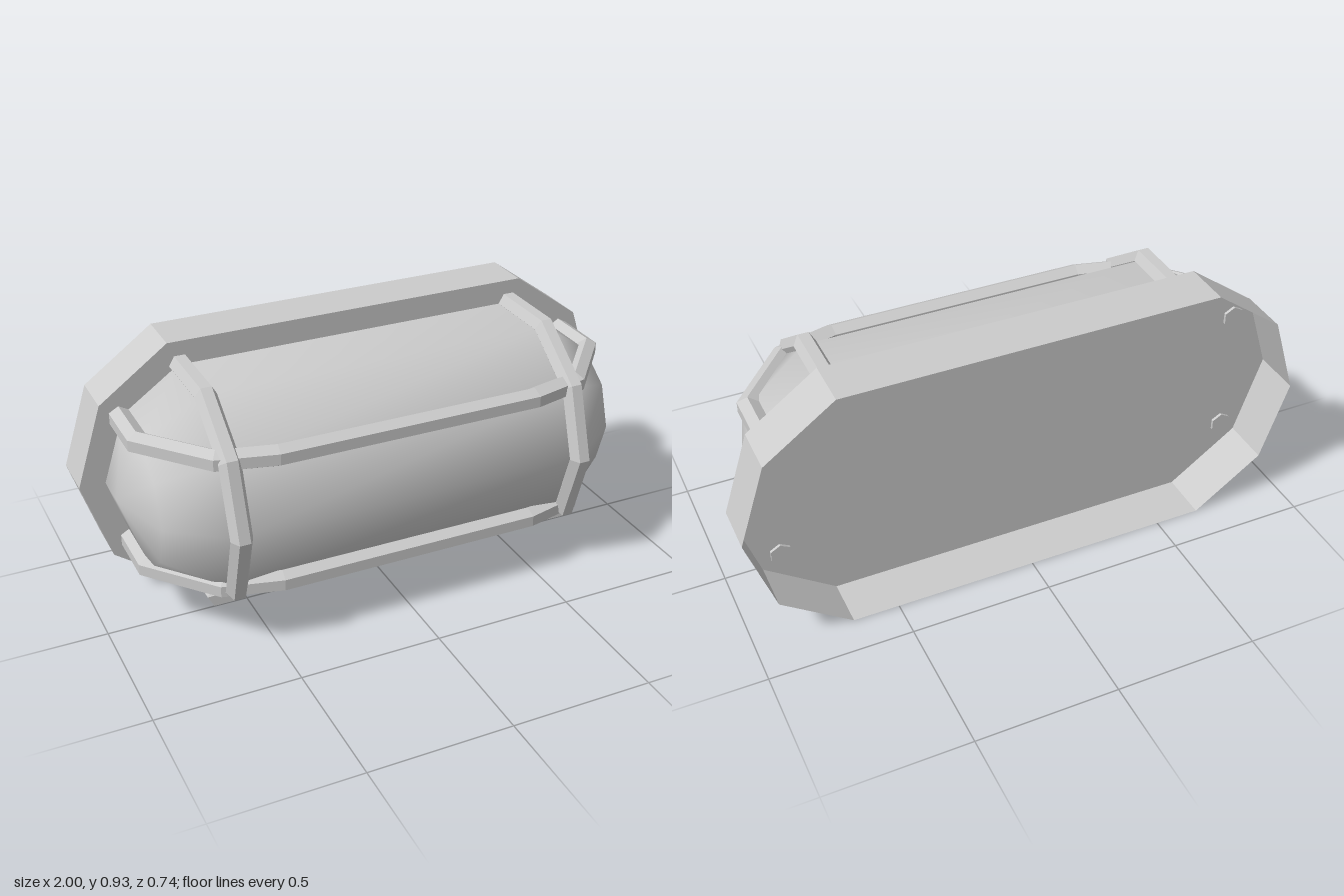
import * as THREE from 'three';
import { mergeVertices } from 'three/addons/utils/BufferGeometryUtils.js';

const V = (x, y, z) => new THREE.Vector3(x, y, z);
const MID_Y = 0.465;   // centre height
const PANEL_Z = -0.195; // front face of the base
const BACK_Z = -0.37;

// Skin a grid of points (rows along one direction, equal length), skipping collapsed triangles
function skin(rows, smooth = false) {
  const pos = [];
  const tri = (a, b, c) => {
    if (a.distanceTo(b) < 1e-6 || b.distanceTo(c) < 1e-6 || c.distanceTo(a) < 1e-6) return;
    for (const p of [a, b, c]) pos.push(p.x, p.y, p.z);
  };
  for (let i = 0; i < rows.length - 1; i++) {
    for (let j = 0; j < rows[i].length - 1; j++) {
      const a = rows[i][j], b = rows[i + 1][j], c = rows[i + 1][j + 1], d = rows[i][j + 1];
      tri(a, b, c);
      tri(a, c, d);
    }
  }
  let geo = new THREE.BufferGeometry();
  geo.setAttribute('position', new THREE.Float32BufferAttribute(pos, 3));
  if (smooth) geo = mergeVertices(geo, 1e-5);
  geo.computeVertexNormals();
  return geo;
}

// Hexagonal bar swept with mitred corners along a planar path of [x, y] points
function hexBar(path, radius) {
  const pts = path.map(([x, y]) => new THREE.Vector2(x, y));
  const rows = pts.map((p, i) => {
    const d0 = pts[Math.max(i, 1)].clone().sub(pts[Math.max(i, 1) - 1]).normalize();
    const k = Math.min(i, pts.length - 2);
    const d1 = pts[k + 1].clone().sub(pts[k]).normalize();
    const t = d0.clone().add(d1).normalize();
    const stretch = 1 / t.dot(d0);
    const ring = [];
    for (let s = 0; s <= 6; s++) {
      const a = Math.PI / 6 - (s % 6) * Math.PI / 3;
      const n = Math.cos(a) * radius * stretch;
      ring.push(V(p.x - t.y * n, p.y + t.x * n, Math.sin(a) * radius));
    }
    return ring;
  });
  // Close both ends
  const cap = (p) => Array.from({ length: 7 }, () => V(p.x, p.y, 0));
  return skin([cap(pts[0]), ...rows, cap(pts[pts.length - 1])]);
}

// Half a path plus its mirror image in the first coordinate
const mirrored = (half) => [...half, ...half.slice().reverse().filter(([u]) => u !== 0).map(([u, v]) => [-u, v])];

export function createModel() {
  const group = new THREE.Group();
  const grey = new THREE.MeshStandardMaterial({ color: 0xcccccc });
  const flat = new THREE.MeshStandardMaterial({ color: 0xcccccc, flatShading: true });
  const thin = new THREE.MeshStandardMaterial({ color: 0xcccccc, flatShading: true, side: THREE.DoubleSide });
  const add = (name, geo, mat) => {
    const mesh = new THREE.Mesh(geo, mat);
    mesh.name = name;
    group.add(mesh);
    return mesh;
  };

  // Base: open-backed tray whose ends are parts of a decagon
  const outline = [];
  const R = MID_Y / Math.sin(Math.PI * 0.4);
  for (const side of [1, -1]) {
    for (let k = -2; k <= 2; k++) {
      const a = k * Math.PI / 5;
      outline.push(new THREE.Vector2(side * (1 - R + R * Math.cos(a)), MID_Y + side * R * Math.sin(a)));
    }
  }
  const loop = (z) => [...outline, outline[0]].map((p) => V(p.x, p.y, z));
  add('baseWall', skin([loop(PANEL_Z), loop(BACK_Z)]), thin);
  const panel = add('basePanel', new THREE.ShapeGeometry(new THREE.Shape(outline)), thin);
  panel.position.z = PANEL_Z;

  // Lamp cover: half capsule along x, carried straight back to the base
  const centreZ = -0.07;
  const profile = [[-0.91, 0], [-0.833, 0.25], [-0.63, 0.4], [0.63, 0.4], [0.833, 0.25], [0.91, 0]];
  const coverRows = profile.map(([x, r]) => {
    const arc = [-2, -1, 0, 1, 2].map((k) =>
      V(x, MID_Y + r * Math.sin(k * Math.PI / 5), centreZ + r * Math.cos(k * Math.PI / 5)));
    return [V(x, arc[0].y, PANEL_Z), ...arc, V(x, arc[4].y, PANEL_Z)];
  });
  add('lampCover', skin(coverRows, true), grey);

  // Long guard bars, their ends pushed just through the panel
  const longPath = mirrored([[-0.842, -0.205], [-0.842, 0], [-0.655, 0.222], [-0.465, 0.27]]);
  for (const [name, y] of [['upperGuardBar', 0.7], ['lowerGuardBar', 0.23]]) {
    const geo = hexBar(longPath, 0.039);
    geo.applyMatrix4(new THREE.Matrix4().makeBasis(V(1, 0, 0), V(0, 0, 1), V(0, -1, 0)));
    add(name, geo, flat).position.y = y;
  }

  // Cross guard hoops
  const hoopPath = mirrored([[-0.381, PANEL_Z], [-0.381, 0.058], [-0.236, 0.258], [0, 0.335]]);
  for (const [name, x] of [['leftGuardHoop', 0.622], ['rightGuardHoop', -0.622]]) {
    const geo = hexBar(hoopPath, 0.038);
    geo.applyMatrix4(new THREE.Matrix4().makeBasis(V(0, 1, 0), V(0, 0, 1), V(1, 0, 0)));
    add(name, geo, flat).position.set(x, MID_Y, 0);
  }
  return group;
}
